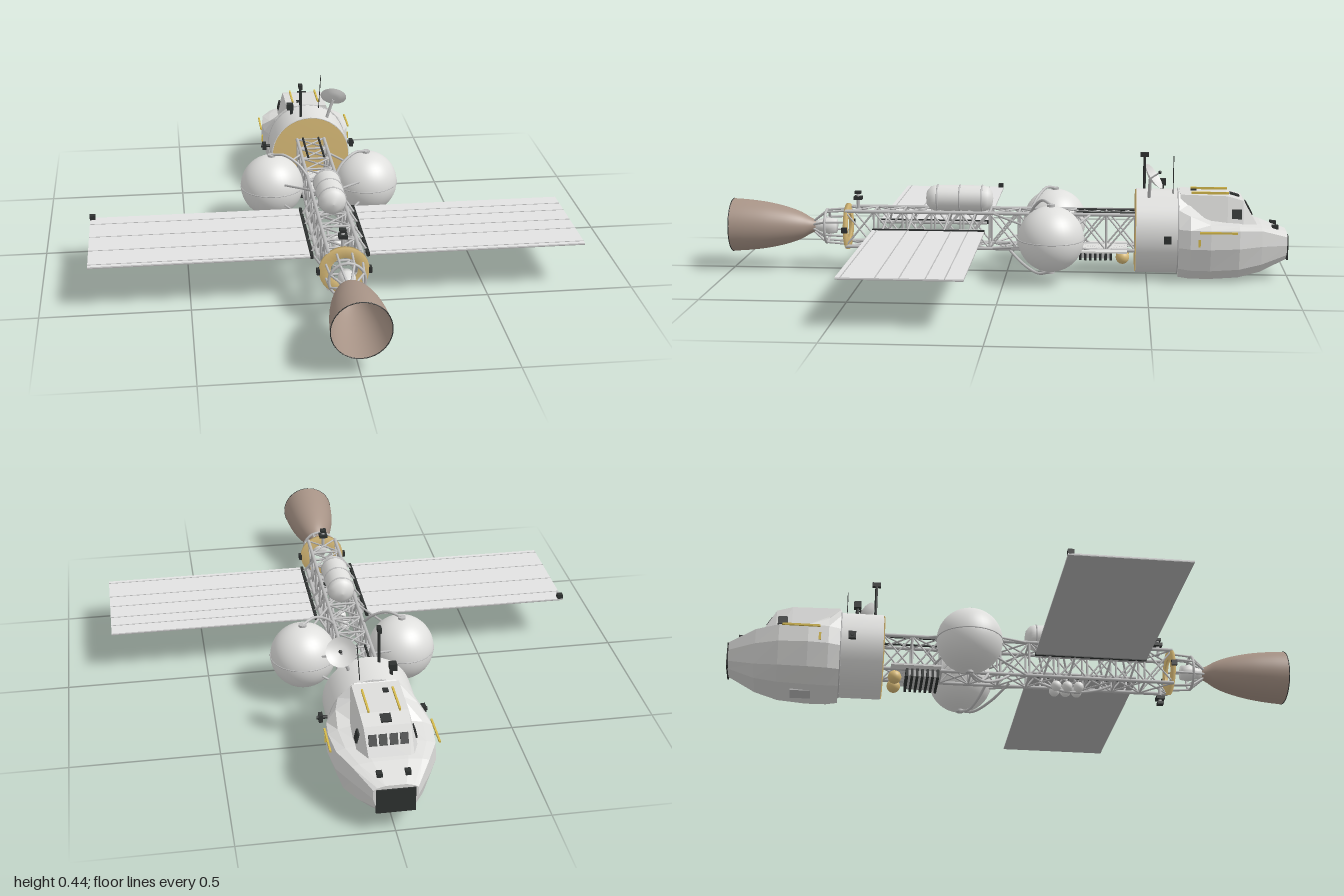
import * as THREE from 'three';
import { mergeGeometries } from 'three/addons/utils/BufferGeometryUtils.js';

const AXIS = 0.157; // height of the ship's long axis
const V = (x, y, z) => new THREE.Vector3(x, y, z);

export function createModel() {
  const ship = new THREE.Group();
  const mat = (name, color, extra = {}) => {
    const m = new THREE.MeshStandardMaterial({ color, ...extra });
    m.name = name;
    return m;
  };
  const white = mat('hull light grey', 0xdfdfdd, { side: THREE.DoubleSide });
  const facet = mat('hull faceted grey', 0xdcdcda, { flatShading: true });
  const grey = mat('truss grey', 0xbcbcbc);
  const dark = mat('dark fittings', 0x2e3130);
  const gold = mat('gold foil', 0xdabc78);
  const brown = mat('nozzle brown', 0xa79386, { side: THREE.DoubleSide });
  const cell = mat('panel face', 0xe2e2e2);
  const back = mat('panel back', 0xb2b2b2);
  const yellow = mat('handrail yellow', 0xd6ba4c);

  const add = (name, geo, m, x = 0, y = 0, z = 0) => {
    const mesh = new THREE.Mesh(geo, m);
    mesh.name = name;
    mesh.position.set(x, y, z);
    ship.add(mesh);
    return mesh;
  };
  const box = (w, h, d, x = 0, y = 0, z = 0) => new THREE.BoxGeometry(w, h, d).translate(x, y, z);
  const rod = (a, b, r, sides = 12) => {
    const d = b.clone().sub(a);
    const q = new THREE.Quaternion().setFromUnitVectors(V(0, 1, 0), d.clone().normalize());
    return new THREE.CylinderGeometry(r, r, d.length(), sides).applyQuaternion(q)
      .translate((a.x + b.x) / 2, (a.y + b.y) / 2, (a.z + b.z) / 2);
  };
  const pipe = (pts, r) => new THREE.TubeGeometry(new THREE.CatmullRomCurve3(pts), 20, r, 12);
  const ball = (r, x, y, z) => new THREE.SphereGeometry(r, 20, 14).translate(x, y, z);
  // turned part along z from [radius, z] points
  const turnZ = (pts, sides = 32) =>
    new THREE.LatheGeometry(pts.map(p => new THREE.Vector2(...p)), sides).rotateX(Math.PI / 2).translate(0, AXIS, 0);
  const hoop = (r, t, z) => new THREE.TorusGeometry(r, t, 12, 40).translate(0, AXIS, z);
  // skin over rings that run towards -z, closed at both ends
  const loft = rings => {
    const out = [], n = rings[0].length;
    const tri = (...p) => p.forEach(v => out.push(v.x, v.y, v.z));
    rings.slice(1).forEach((next, i) => next.forEach((_, j) => {
      const k = (j + 1) % n, r = rings[i];
      tri(r[j], next[j], next[k]);
      tri(r[j], next[k], r[k]);
    }));
    [rings[0], rings.at(-1)].forEach((r, e) => {
      const c = r.reduce((s, p) => s.add(p), V(0, 0, 0)).divideScalar(n);
      r.forEach((p, j) => (e ? tri(c, r[(j + 1) % n], p) : tri(c, p, r[(j + 1) % n])));
    });
    const g = new THREE.BufferGeometry();
    g.setAttribute('position', new THREE.Float32BufferAttribute(out, 3));
    g.computeVertexNormals();
    return g;
  };
  const mirrored = half => [...half, ...half.slice().reverse().map(p => V(-p.x, p.y, p.z))];
  const plate = (name, m, w, h, pos, normal) =>
    add(name, new THREE.BoxGeometry(w, h, 0.006), m, ...pos).lookAt(V(...pos).add(V(...normal)));

  // Engine bell, neck and thrust frame
  const bell = new THREE.SplineCurve([[0.021, 0.695], [0.029, 0.715], [0.049, 0.75], [0.067, 0.8], [0.083, 0.87], [0.092, 0.94], [0.096, 1]]
    .map(p => new THREE.Vector2(...p)));
  add('engineBell', turnZ(bell.getPoints(24).map(p => p.toArray()), 48), brown);
  add('bellRim', hoop(0.0955, 0.0016, 0.998), dark);
  add('engineNeck', turnZ([[0, 0.62], [0.026, 0.62], [0.03, 0.65], [0.02, 0.68], [0.02, 0.7], [0, 0.7]], 24), white);
  const thrust = [hoop(0.06, 0.005, 0.655)];
  for (let i = 0; i < 8; i++) {
    const a = (i + 0.5) * Math.PI / 4, c = Math.cos(a), s = Math.sin(a);
    thrust.push(rod(V(0.066 * c, AXIS + 0.066 * s, 0.58), V(0.06 * c, AXIS + 0.06 * s, 0.655), 0.004));
    thrust.push(rod(V(0.06 * c, AXIS + 0.06 * s, 0.655), V(0.022 * c, AXIS + 0.022 * s, 0.7), 0.004));
  }
  add('thrustFrame', mergeGeometries(thrust), grey);
  add('aftRing', turnZ([[0.046, 0.572], [0.083, 0.572], [0.083, 0.584], [0.046, 0.584], [0.046, 0.572]]), gold);

  // Lattice truss with crossed bracing
  const X = 0.052, Y = 0.064, Z0 = -0.46, BAYS = 10, STEP = 1.04 / BAYS;
  const corner = (i, z) => V([X, -X, -X, X][i % 4], AXIS + [Y, Y, -Y, -Y][i % 4], z);
  const lattice = [];
  for (let i = 0; i < 4; i++) {
    lattice.push(rod(corner(i, Z0), corner(i, 0.58), 0.0065));
    for (let b = 0; b < BAYS; b++) {
      const z = Z0 + b * STEP;
      lattice.push(rod(corner(i, z), corner(i + 1, z), 0.004));
      lattice.push(rod(corner(i, z), corner(i + 1, z + STEP), 0.0032));
      lattice.push(rod(corner(i + 1, z), corner(i, z + STEP), 0.0032));
    }
  }
  add('truss', mergeGeometries(lattice), grey);
  add('trussConduits', mergeGeometries([-1, 1].map(s => rod(V(s * 0.03, 0.225, -0.46), V(s * 0.03, 0.225, -0.25), 0.004))), dark);

  // Twin round propellant tanks with struts and feed pipes
  for (const s of [-1, 1]) {
    const cx = s * 0.175, cz = -0.165;
    add('roundTank', new THREE.SphereGeometry(0.115, 40, 28), white, cx, AXIS, cz);
    add('tankBand', new THREE.TorusGeometry(0.115, 0.002, 12, 48).rotateX(Math.PI / 2), grey, cx, AXIS, cz);
    add('tankCaps', mergeGeometries([1, -1].map(k => new THREE.CylinderGeometry(0.014, 0.014, 0.012, 20).translate(cx, AXIS + k * 0.116, cz))), grey);
    const struts = [];
    for (const k of [-1, 1]) {
      struts.push(rod(V(s * X, AXIS + k * Y, -0.3), V(s * 0.12, AXIS + k * 0.04, -0.255), 0.004));
      struts.push(rod(V(s * X, AXIS + k * Y, 0.05), V(s * 0.135, AXIS + k * 0.04, -0.062), 0.004));
      struts.push(pipe([V(cx, AXIS + k * 0.12, cz), V(s * 0.13, AXIS + k * 0.128, cz + 0.03), V(s * 0.08, AXIS + k * 0.1, cz + 0.06), V(s * X, AXIS + k * Y, cz + 0.08)], 0.005));
    }
    struts.push(pipe([V(cx, 0.04, cz), V(s * 0.14, 0.025, -0.12), V(s * 0.09, 0.05, -0.06), V(s * 0.04, 0.1, 0)], 0.005));
    add('tankStruts', mergeGeometries(struts), grey);
  }

  // Pressurant tank on top, with bands
  add('topTank', turnZ([[0, 0.05], [0.025, 0.054], [0.042, 0.068], [0.047, 0.085], [0.047, 0.255], [0.042, 0.275], [0.025, 0.289], [0, 0.293]], 28), white).position.y = 0.108;
  add('topTankBands', mergeGeometries([0.09, 0.17, 0.25].map(z => hoop(0.047, 0.003, z))), grey).position.y = 0.108;

  // Solar wings: bright cells above, duller sheet below
  for (const s of [-1, 1]) {
    const cx = s * 0.467;
    add('solarWing', box(0.734, 0.004, 0.4), cell, cx, 0.161, 0.275);
    add('solarWingBack', box(0.734, 0.003, 0.4), back, cx, 0.1575, 0.275);
    const lines = s > 0 ? [0.133, 0.193, 0.275, 0.35, 0.458] : [0.133, 0.24, 0.35, 0.458];
    add('solarSeams', mergeGeometries(lines.map(z => box(0.734, 0.001, 0.004, cx, 0.1633, z))), grey);
    add('wingRail', box(0.01, 0.014, 0.4, s * 0.094, 0.16, 0.275), dark);
    const arms = [];
    for (const z of [0.11, 0.2, 0.33, 0.42]) for (const k of [-1, 1])
      arms.push(rod(V(s * X, AXIS + k * Y, z), V(s * 0.094, 0.16, z + 0.02), 0.004));
    arms.push(rod(V(s * 0.075, 0.16, 0.08), V(s * 0.075, 0.16, 0.47), 0.006));
    add('wingArms', mergeGeometries(arms), grey);
  }
  add('wingTipSensor', box(0.02, 0.016, 0.02), dark, -0.825, 0.17, 0.085);

  // Radiator and equipment under the truss
  add('radiator', box(0.19, 0.006, 0.175), white, 0, 0.093, -0.343);
  const fins = [];
  for (let i = 0; i < 7; i++) fins.push(box(0.14, 0.03, 0.009, 0, 0.074, -0.265 - i * 0.018));
  add('coolingFins', mergeGeometries(fins), dark);
  add('coolingCore', box(0.12, 0.022, 0.115), grey, 0, 0.076, -0.319);
  add('goldTanks', mergeGeometries([-1, 1].map(s => ball(0.024, s * 0.04, 0.066, -0.415))), gold);
  add('smallTanks', mergeGeometries([-1, 1].flatMap(s => [0.16, 0.2, 0.24].map(z => ball(0.019, s * 0.024, 0.07, z)))), white);
  add('lowerPipe', pipe([V(0, 0.09, 0.36), V(0, 0.068, 0.3), V(0, 0.06, 0.2), V(0, 0.09, 0.1)], 0.005), grey);

  // Aft thruster clusters
  const posts = [], jets = [];
  for (const k of [-1, 1]) {
    posts.push(rod(V(0, AXIS + k * Y, 0.54), V(0, AXIS + k * 0.125, 0.54), 0.006));
    jets.push(box(0.03, 0.012, 0.03, 0, AXIS + k * 0.105, 0.54), box(0.022, 0.01, 0.022, 0, AXIS + k * 0.125, 0.54));
    posts.push(rod(V(k * 0.05, AXIS, 0.578), V(k * 0.088, AXIS, 0.578), 0.005));
    jets.push(box(0.01, 0.02, 0.02, k * 0.086, AXIS, 0.578));
  }
  add('thrusterPosts', mergeGeometries(posts), grey);
  add('aftThrusters', mergeGeometries(jets), dark);

  // Service drum behind the cabin
  add('serviceDrum', new THREE.CylinderGeometry(0.15, 0.15, 0.15, 36).rotateX(Math.PI / 2), white, 0, AXIS, -0.536);
  add('drumBulkhead', turnZ([[0, -0.462], [0.147, -0.462], [0.147, -0.457], [0, -0.457]], 36), gold);
  add('drumSeam', hoop(0.15, 0.0025, -0.608), grey);

  // Faceted crew hull: [z, half width, bottom, chine, top]
  const stations = [[-0.61, 0.152, 0.006, 0.19, 0.304], [-0.65, 0.168, 0.002, 0.19, 0.27], [-0.72, 0.173, 0.002, 0.19, 0.218],
    [-0.82, 0.162, 0.008, 0.19, 0.208], [-0.9, 0.125, 0.026, 0.184, 0.196], [-0.992, 0.072, 0.068, 0.153, 0.167]];
  add('crewHull', loft(stations.map(([z, w, b, c, t]) => mirrored([
    V(0.5 * w, b, z), V(0.84 * w, b + 0.22 * (c - b), z), V(w, b + 0.65 * (c - b), z),
    V(0.98 * w, c, z), V(0.8 * w, c + 0.55 * (t - c), z), V(0.45 * w, t, z)]))), facet);
  // Raised cabin: [z, base half width, top half width, top]
  const cabin = [[-0.615, 0.105, 0.078, 0.302], [-0.78, 0.105, 0.078, 0.298], [-0.835, 0.103, 0.075, 0.282], [-0.888, 0.08, 0.066, 0.192]];
  add('cabin', loft(cabin.map(([z, wb, wt, t]) => mirrored([V(wb, 0.18, z), V(wt, t, z)]))), facet);
  plate('noseGrille', dark, 0.125, 0.085, [0, 0.112, -0.994], [0, 0, -1]);

  // Windows, hatches and handrails
  for (const s of [-1, 1]) {
    for (const x of [0.017, 0.05]) plate('frontWindow', dark, 0.026, 0.036, [s * x, 0.245, -0.858], [0, 0.5, -0.86]);
    plate('sideWindow', dark, 0.034, 0.034, [s * 0.0925, 0.237, -0.812], [s * 0.975, 0.22, 0]);
    add('roofRail', box(0.006, 0.008, 0.13), yellow, s * 0.05, 0.304, -0.72);
    add('sideRail', box(0.006, 0.007, 0.13), yellow, s * 0.175, 0.185, -0.745);
    add('sideStep', box(0.006, 0.026, 0.008), yellow, s * 0.172, 0.147, -0.68);
    add('noseSensor', box(0.018, 0.014, 0.022), dark, s * 0.045, 0.184, -0.95);
    add('sideThruster', mergeGeometries([rod(V(s * 0.145, AXIS, -0.57), V(s * 0.185, AXIS, -0.57), 0.006),
      box(0.014, 0.026, 0.026, s * 0.172, AXIS, -0.57)]), dark);
  }
  plate('roofHatch', dark, 0.034, 0.034, [0, 0.292, -0.808], [0, 0.96, -0.28]);
  plate('roofPort', dark, 0.018, 0.022, [-0.025, 0.302, -0.665], [0, 1, 0.01]);
  plate('bellyHatch', grey, 0.07, 0.07, [0, 0.003, -0.74], [0, -1, 0.01]);

  // Antennas
  add('mast', mergeGeometries([rod(V(-0.035, 0.29, -0.49), V(-0.035, 0.43, -0.49), 0.005),
    box(0.014, 0.016, 0.03, -0.035, 0.425, -0.49)]), dark);
  add('camera', mergeGeometries([rod(V(-0.065, 0.28, -0.555), V(-0.065, 0.32, -0.555), 0.006),
    box(0.024, 0.024, 0.026, -0.07, 0.322, -0.555)]), dark);
  add('whip', rod(V(0.045, 0.29, -0.59), V(0.055, 0.435, -0.59), 0.0015), dark);
  const dish = add('dish', new THREE.LatheGeometry([[0, 0], [0.02, 0.002], [0.036, 0.008], [0.05, 0.017]].map(p => new THREE.Vector2(...p)), 28), white, 0.093, 0.36, -0.508);
  dish.quaternion.setFromUnitVectors(V(0, 1, 0), V(0.2, 0.57, -0.8).normalize());
  add('dishStem', mergeGeometries([rod(V(0.065, 0.28, -0.505), V(0.093, 0.36, -0.508), 0.006),
    rod(V(0.093, 0.36, -0.508), V(0.101, 0.384, -0.541), 0.003)]), grey);
  add('dishFeed', ball(0.006, 0.101, 0.384, -0.541), dark);
  return ship;
}
